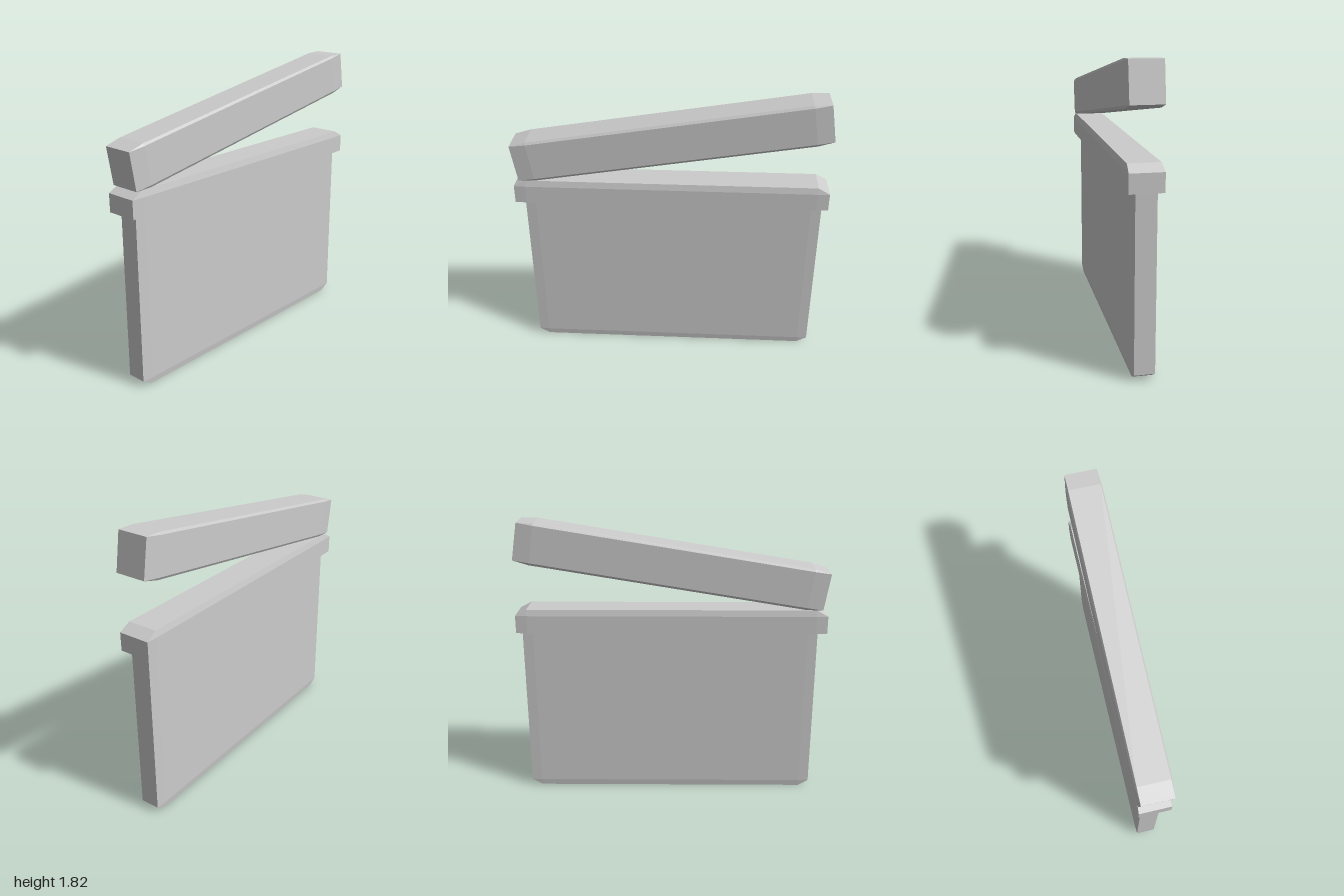
import * as THREE from 'three';
import { ConvexGeometry } from 'three/addons/geometries/ConvexGeometry.js';

const material = new THREE.MeshStandardMaterial({ color: 0xcccccc, flatShading: true });

// Faceted block from [half width, y, half length] corners, mirrored in x and z
function block(name, corners) {
  const points = [];
  for (const [x, y, z] of corners)
    for (const sx of [-1, 1])
      for (const sz of [-1, 1]) points.push(new THREE.Vector3(sx * x, y, sz * z));
  const mesh = new THREE.Mesh(new ConvexGeometry(points), material);
  mesh.name = name;
  return mesh;
}

export function createModel() {
  const group = new THREE.Group();
  group.name = 'slimBoxWithOpenLid';

  // Slim body with chamfered lower corners
  const body = block('body', [
    [0.062, 1.13, 0.9525], [0.065, 1.13, 0.887],
    [0.062, 0.04, 0.9525], [0.065, 0.04, 0.887],
    [0.06, 0, 0.887],
  ]);
  body.position.set(-0.009, 0, -0.0125);

  // Wider rim with a bevelled top
  const rim = block('rim', [
    [0.101, 1.115, 0.9975], [0.105, 1.115, 0.925],
    [0.101, 1.23, 0.9975], [0.105, 1.23, 0.925],
    [0.096, 1.27, 0.925],
  ]);
  rim.position.set(-0.003, 0, -0.0025);

  // Tilted lid, slightly crowned on every long face
  const lidCorners = [];
  for (const s of [-1, 1])
    lidCorners.push([0.098, s * 0.119, 0.9905], [0.107, s * 0.118, 0.885], [0.098, s * 0.133, 0.885]);
  const lid = block('lid', lidCorners);
  lid.position.set(-0.003, 1.5475, 0.0025);
  lid.rotation.x = 0.162;

  group.add(body, rim, lid);
  return group;
}
